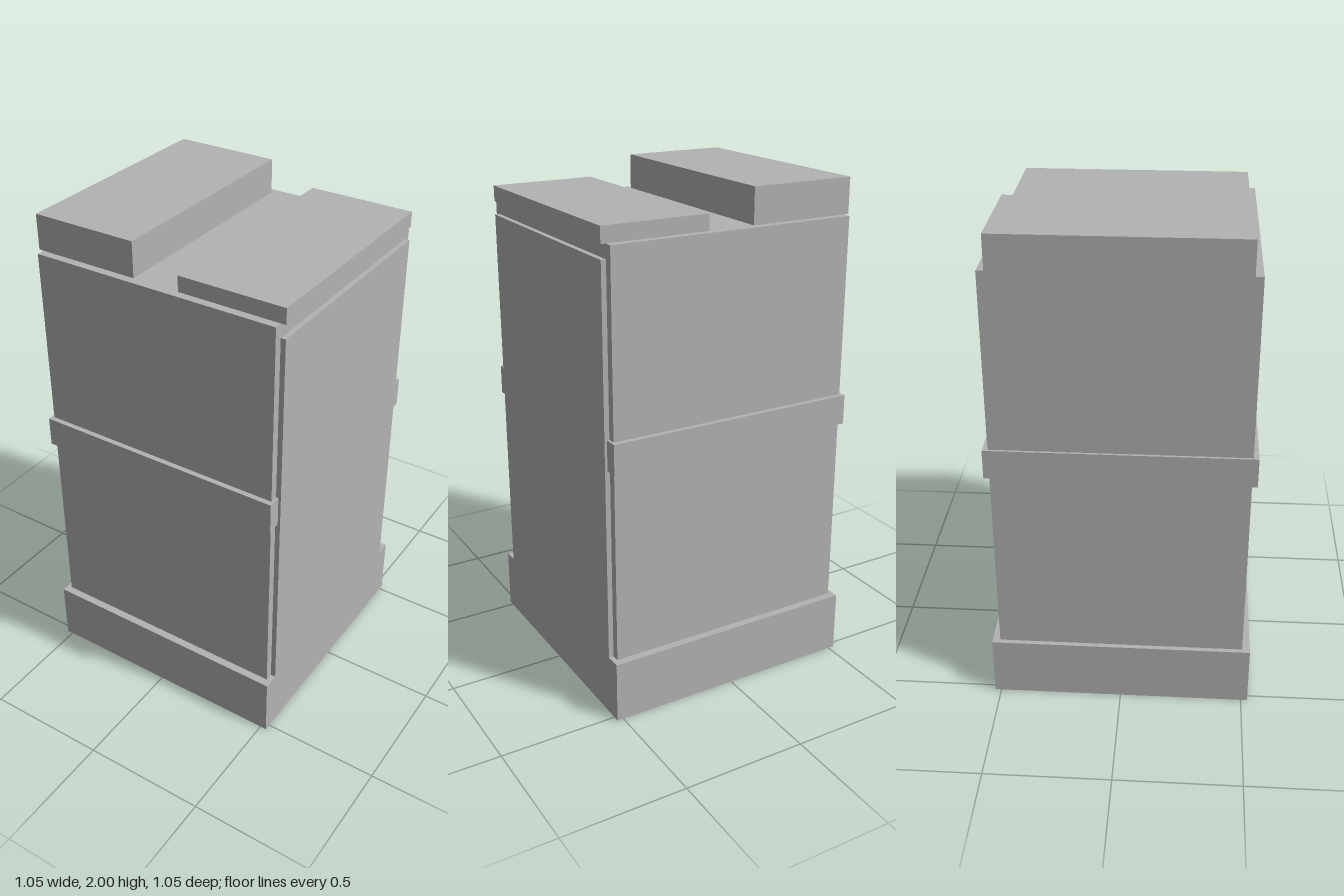
import * as THREE from 'three';

export function createModel() {
  const group = new THREE.Group();
  const grey = new THREE.MeshStandardMaterial({ color: 0xb3b3b3 });
  grey.name = 'plain grey';

  // Box given by its extents along x and y, and its half depth along z
  const addBox = (name, x0, x1, y0, y1, halfZ) => {
    const mesh = new THREE.Mesh(new THREE.BoxGeometry(x1 - x0, y1 - y0, halfZ * 2), grey);
    mesh.position.set((x0 + x1) / 2, (y0 + y1) / 2, 0);
    mesh.name = name;
    group.add(mesh);
  };

  // Plinth, tower and the belt around its middle
  addBox('base', -0.526, 0.526, 0, 0.25, 0.526);
  addBox('body', -0.506, 0.506, 0.25, 1.86, 0.495);
  addBox('belt', -0.516, 0.516, 1.03, 1.15, 0.516);

  // Raised panel on one side wall
  addBox('sidePanel', 0.506, 0.526, 0.25, 1.806, 0.463);

  // Two roof blocks of different heights with a gap between them
  addBox('tallRoofBlock', -0.526, -0.095, 1.86, 2, 0.463);
  addBox('lowRoofBlock', 0.095, 0.526, 1.86, 1.922, 0.463);

  return group;
}
